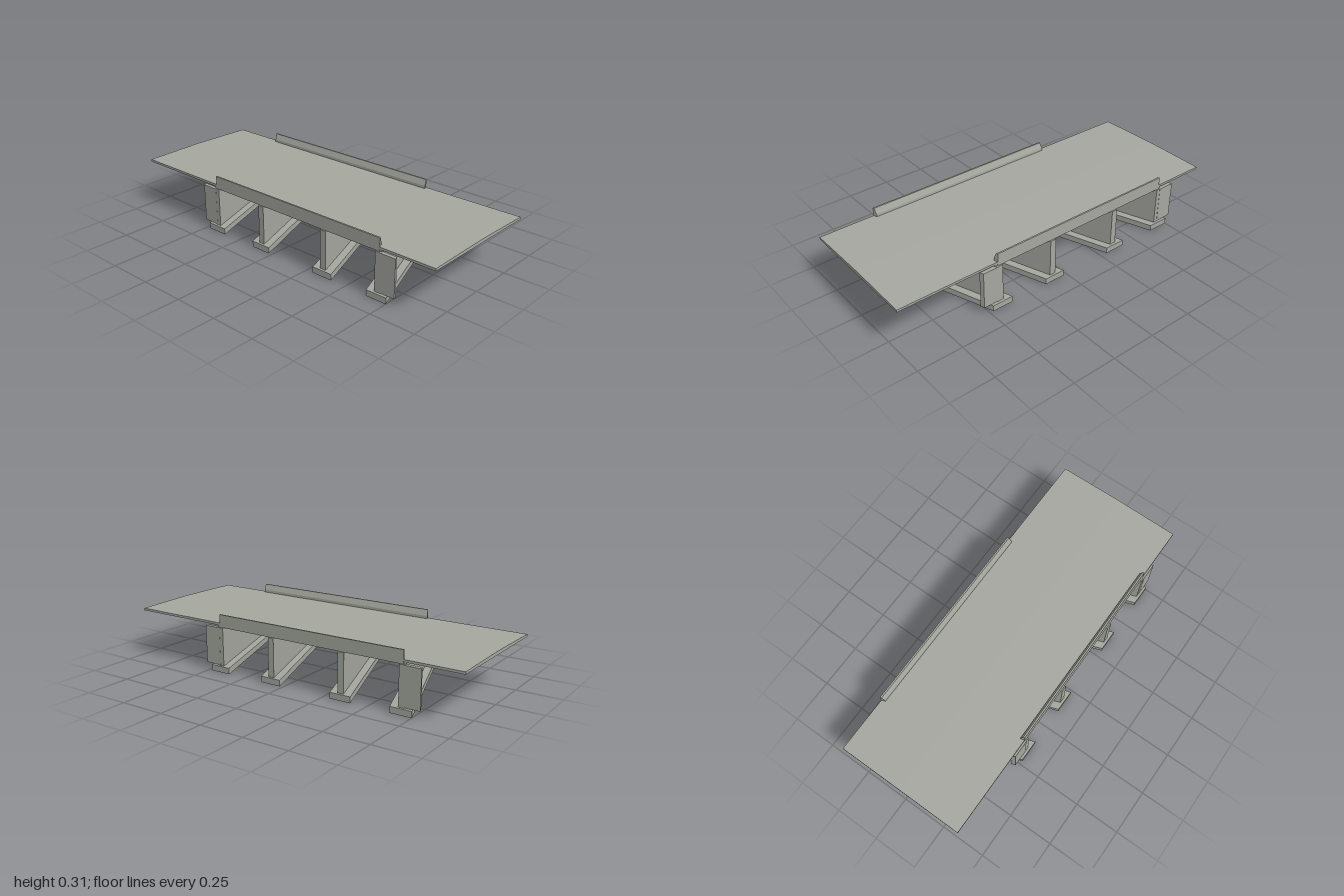
import * as THREE from 'three';

const SKEW = 0.355; // sideways shift of the substructure per unit of z

const concrete = new THREE.MeshStandardMaterial({ color: 0xa5a79f });
concrete.name = 'concrete';

// Slides every vertex along x in proportion to z
function skew(geometry) {
  const p = geometry.attributes.position;
  for (let i = 0; i < p.count; i++) p.setX(i, p.getX(i) + SKEW * p.getZ(i));
  geometry.computeVertexNormals();
  return geometry;
}

// Box given by its extents
function block(x0, x1, y0, y1, z0, z1) {
  return new THREE.BoxGeometry(x1 - x0, y1 - y0, z1 - z0)
    .translate((x0 + x1) / 2, (y0 + y1) / 2, (z0 + z1) / 2);
}

// Extrudes a [z, y] cross-section along x, centred on x = 0
function extrudeAlongX(section, length) {
  const shape = new THREE.Shape(section.map(([z, y]) => new THREE.Vector2(-z, y)));
  return new THREE.ExtrudeGeometry(shape, { depth: length, bevelEnabled: false })
    .translate(0, 0, -length / 2)
    .rotateY(Math.PI / 2);
}

export function createModel() {
  const model = new THREE.Group();
  model.name = 'skewBridge';
  const add = (name, geometry) => {
    const mesh = new THREE.Mesh(geometry, concrete);
    mesh.name = name;
    model.add(mesh);
  };

  // Cambered road deck with square ends
  add('roadDeck', extrudeAlongX([
    [-0.362, 0.255], [0.362, 0.255], [0.362, 0.268], [0.25, 0.2703], [0.12, 0.2727],
    [0, 0.274], [-0.12, 0.2727], [-0.25, 0.2703], [-0.362, 0.268],
  ], 2));

  // Thicker skewed slab over the spans
  add('spanSlab', skew(block(-0.573, 0.573, 0.245, 0.256, -0.36, 0.36)));

  // Parapets with sloped inner faces
  for (const side of [1, -1]) {
    const section = [
      [0.363, 0.245], [0.363, 0.315], [0.354, 0.315], [0.341, 0.283], [0.34, 0.245],
    ].map(([z, y]) => [side * z, y]);
    add(side > 0 ? 'frontParapet' : 'backParapet', skew(extrudeAlongX(section, 1.12)));
  }

  // Abutments and piers on strip footings
  for (const x of [-0.555, -0.215, 0.215, 0.555]) {
    const name = Math.abs(x) > 0.5 ? 'abutment' : 'pier';
    add(name + 'Wall', skew(block(x - 0.0175, x + 0.0175, 0.033, 0.245, -0.37, 0.37)));
    add(name + 'Footing', skew(block(x - 0.06, x + 0.06, 0, 0.033, -0.384, 0.384)));
  }

  // Wing walls reaching out from the abutment ends
  for (const end of [1, -1]) {
    for (const side of [1, -1]) {
      const x = [end * 0.56, end * 0.656].sort((a, b) => a - b);
      const z = [side * 0.349, side * 0.371].sort((a, b) => a - b);
      add('wingWall', skew(block(...x, 0.036, 0.244, ...z)));
    }
  }

  return model;
}
